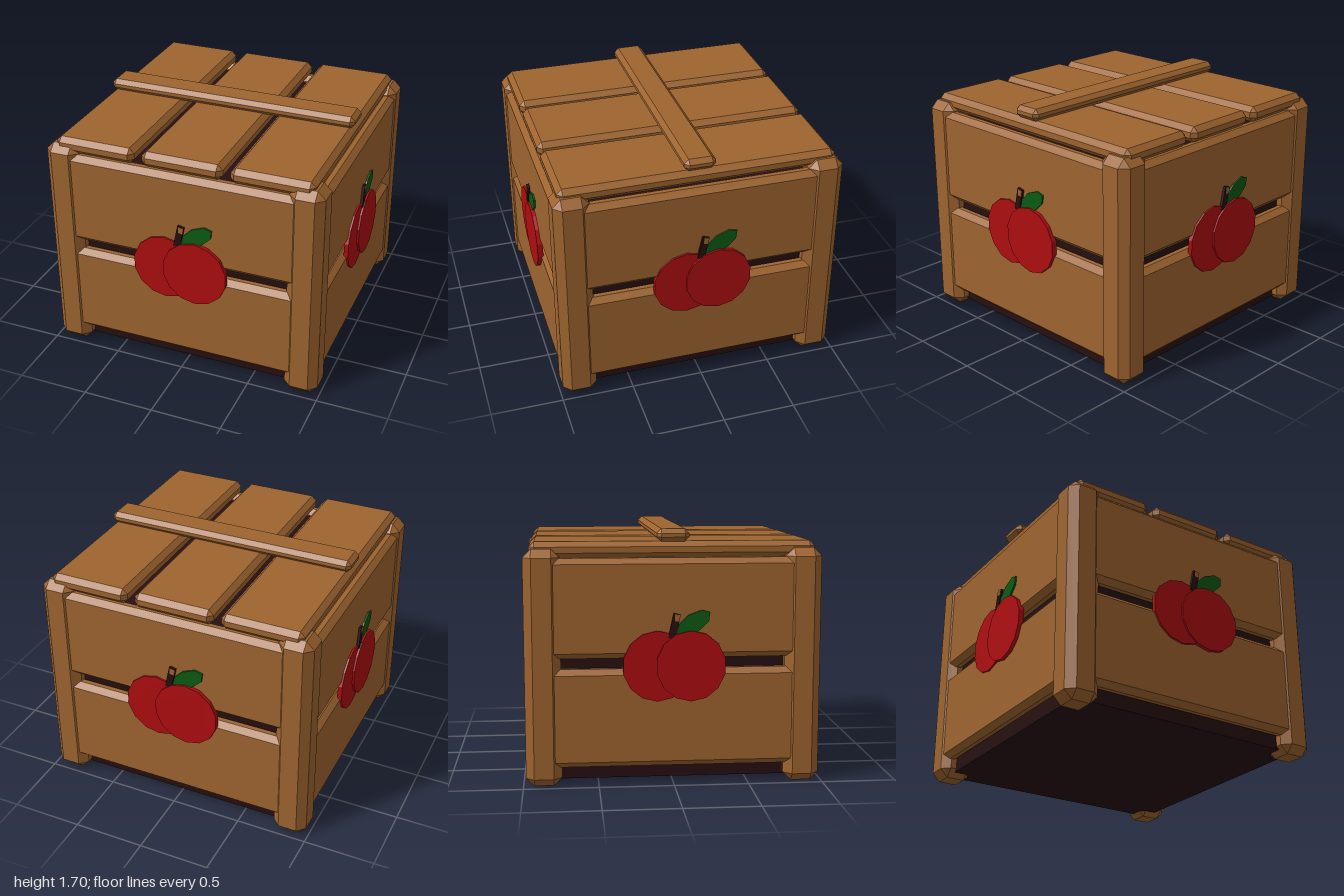
import * as THREE from 'three';
import { ConvexGeometry } from 'three/addons/geometries/ConvexGeometry.js';

const mat = (name, color) => Object.assign(new THREE.MeshStandardMaterial({ color }), { name });

// Box with every edge and corner cut by b
function chamferBox(w, h, d, b) {
  const pts = [];
  for (const x of [-1, 1]) for (const y of [-1, 1]) for (const z of [-1, 1])
    for (let flat = 0; flat < 3; flat++) {
      const inset = (size, axis) => size / 2 - (axis === flat ? 0 : b);
      pts.push(new THREE.Vector3(x * inset(w, 0), y * inset(h, 1), z * inset(d, 2)));
    }
  return new ConvexGeometry(pts);
}

// Outline extruded from z0 to z1
function plate(points, z0, z1) {
  const shape = new THREE.Shape(points.map(([x, y]) => new THREE.Vector2(x, y)));
  return new THREE.ExtrudeGeometry(shape, { depth: z1 - z0, bevelEnabled: false }).translate(0, 0, z0);
}

// Fourteen-sided half of the apple
function appleHalf(x, z0, z1) {
  const pts = [];
  for (let i = 0; i < 14; i++) {
    const a = ((i + 0.5) / 14) * Math.PI * 2;
    pts.push([x + 0.231 * Math.cos(a), 0.805 + 0.235 * Math.sin(a)]);
  }
  return plate(pts, z0, z1);
}

export function createModel() {
  const wood = mat('wood', 0x9e642f);
  const dark = mat('darkInterior', 0x260f10);
  const red = mat('appleRed', 0xae0d10);
  const green = mat('leafGreen', 0x0b5a12);

  const crate = new THREE.Group();
  crate.name = 'crate';
  const add = (parent, name, geometry, material, x = 0, y = 0, z = 0) => {
    const mesh = new THREE.Mesh(geometry, material);
    mesh.name = name;
    mesh.position.set(x, y, z);
    parent.add(mesh);
    return mesh;
  };

  // Dark core seen through the gaps and from below
  add(crate, 'innerBox', new THREE.BoxGeometry(1.77, 1.435, 1.77), dark, 0, 0.7525, 0);

  // Corner posts
  const post = chamferBox(0.24, 1.575, 0.24, 0.055);
  for (const x of [-1, 1]) for (const z of [-1, 1])
    add(crate, 'cornerPost', post, wood, x * 0.863, 0.7875, z * 0.863);

  // Four sides, each with two boards and an apple emblem
  const board = chamferBox(1.74, 0.66, 0.11, 0.038);
  const leaf = [[0.01, 1.0], [0.03, 1.08], [0.09, 1.14], [0.18, 1.175], [0.235, 1.16],
    [0.227, 1.1], [0.17, 1.045], [0.09, 0.99]];
  const stem = [[-0.04, 0.995], [0.01, 0.995], [0.04, 1.145], [-0.005, 1.155]];
  const tip = [[0, 1.105], [0.031, 1.1], [0.038, 1.143], [0.002, 1.15]];
  ['front', 'left', 'back', 'right'].forEach((label, i) => {
    const side = new THREE.Group();
    side.name = label + 'Side';
    side.rotation.y = (i * Math.PI) / 2;
    add(side, 'lowerBoard', board, wood, 0, 0.455, 0.918);
    add(side, 'upperBoard', board, wood, 0, 1.185, 0.918);
    add(side, 'appleHalfBack', appleHalf(-0.11, 0.955, 0.986), red);
    add(side, 'appleHalfFront', appleHalf(0.11, 0.96, 0.999), red);
    add(side, 'appleLeaf', plate(leaf, 0.96, 0.985), green);
    add(side, 'appleStem', plate(stem, 0.96, 0.992), dark);
    add(side, 'stemTip', plate(tip, 0.99, 0.995), wood);
    crate.add(side);
  });

  // Lid planks and the batten across them
  const plank = chamferBox(0.572, 0.11, 1.885, 0.035);
  for (const x of [-0.626, 0, 0.626]) add(crate, 'lidPlank', plank, wood, x, 1.565, 0);
  add(crate, 'lidBatten', chamferBox(1.825, 0.085, 0.215, 0.03), wood, 0, 1.6575, 0);

  return crate;
}
